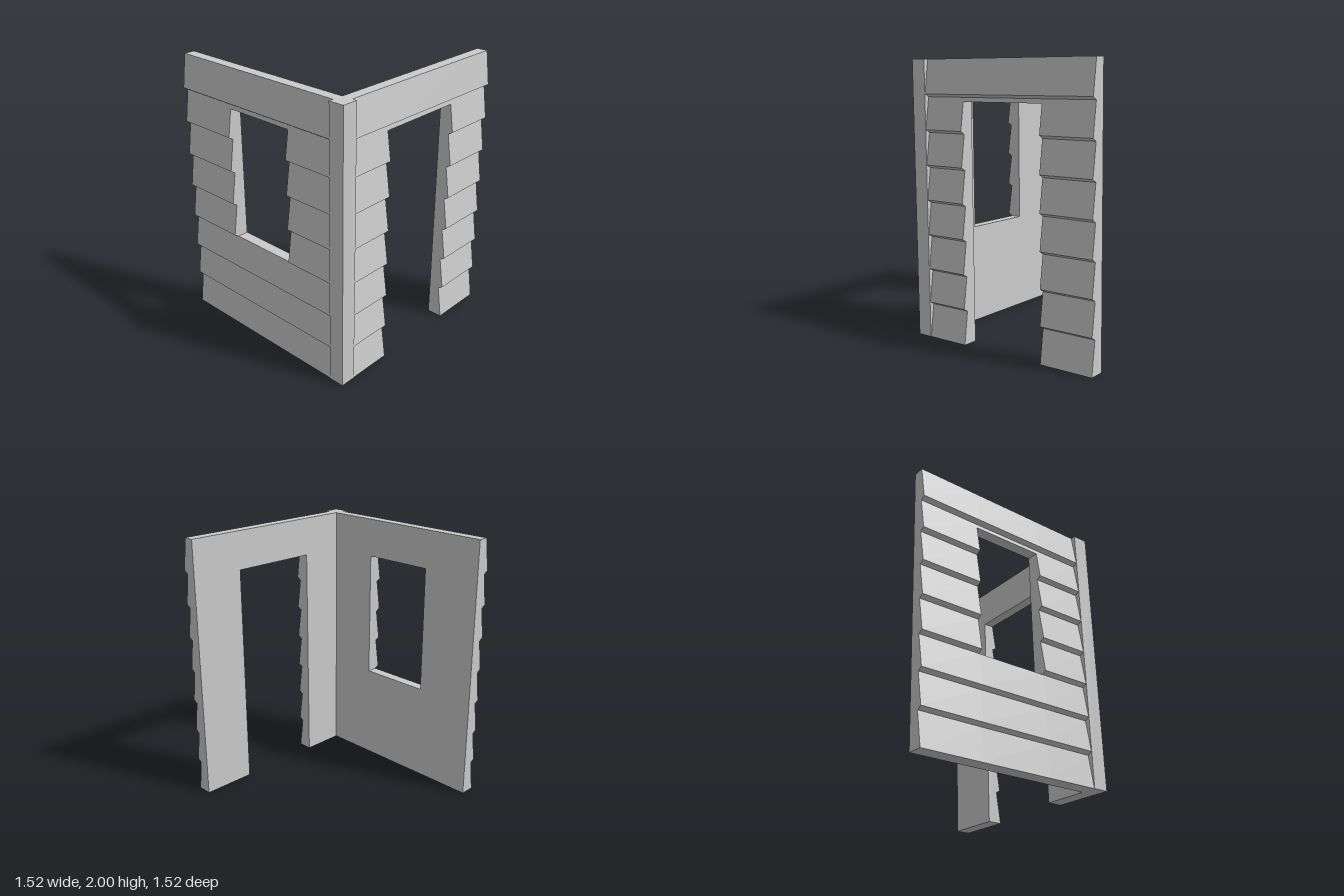
import * as THREE from 'three';

const HEIGHT = 2, BOARDS = 8, PITCH = HEIGHT / BOARDS;
const INNER = 0.645, THIN = 0.724, THICK = 0.757, LIP = 0.01;

const material = new THREE.MeshStandardMaterial({ color: 0xcccccc, flatShading: true });

// Outer face of the lapped siding as [distance from centre, height] points
const siding = [[THICK, 0]];
for (let i = 1; i < BOARDS; i++) siding.push([THIN, i * PITCH - LIP], [THICK, i * PITCH + LIP]);
siding.push([THIN, HEIGHT]);

function depthAt(y) {
  const i = Math.max(1, siding.findIndex((p) => p[1] >= y));
  const [a, b] = [siding[i - 1], siding[i]];
  return a[0] + (b[0] - a[0]) * (y - a[1]) / (b[1] - a[1]);
}

// A stretch of sided wall running from u0 to u1 between heights y0 and y1
function wallPiece(name, u0, u1, y0, y1) {
  const face = [
    [depthAt(y0), y0],
    ...siding.filter((p) => p[1] > y0 && p[1] < y1),
    [depthAt(y1), y1],
  ];
  const outline = [[INNER, y0], ...face, [INNER, y1]];
  const shape = new THREE.Shape(outline.map(([n, y]) => new THREE.Vector2(-n, y)));
  const geometry = new THREE.ExtrudeGeometry(shape, { depth: u1 - u0, bevelEnabled: false });
  geometry.translate(0, 0, u0);
  const mesh = new THREE.Mesh(geometry, material);
  mesh.name = name;
  return mesh;
}

// A wall with one opening; a sill piece is added when the opening starts above the floor
function wall(name, [start, end], [left, right], [bottom, top]) {
  const group = new THREE.Group();
  group.name = name;
  group.add(
    wallPiece('pierStart', start, left, 0, HEIGHT),
    wallPiece('pierEnd', right, end, 0, HEIGHT),
    wallPiece('lintel', left, right, top, HEIGHT),
  );
  if (bottom > 0) group.add(wallPiece('sill', left, right, 0, bottom));
  return group;
}

export function createModel() {
  const model = new THREE.Group();
  model.name = 'cornerWalls';

  // Side wall with the window
  model.add(wall('windowWall', [-0.757, INNER], [-0.29, 0.26], [0.74, 1.71]));

  // Front wall with the doorway, turned to face +z
  const doorWall = wall('doorWall', [-INNER, 0.757], [-0.315, 0.35], [0, 1.71]);
  doorWall.rotation.y = Math.PI / 2;
  model.add(doorWall);

  // Plain square post joining the two walls
  const size = 0.76 - INNER;
  const post = new THREE.Mesh(new THREE.BoxGeometry(size, HEIGHT, size), material);
  post.position.set(-INNER - size / 2, HEIGHT / 2, INNER + size / 2);
  post.name = 'cornerPost';
  model.add(post);

  return model;
}
